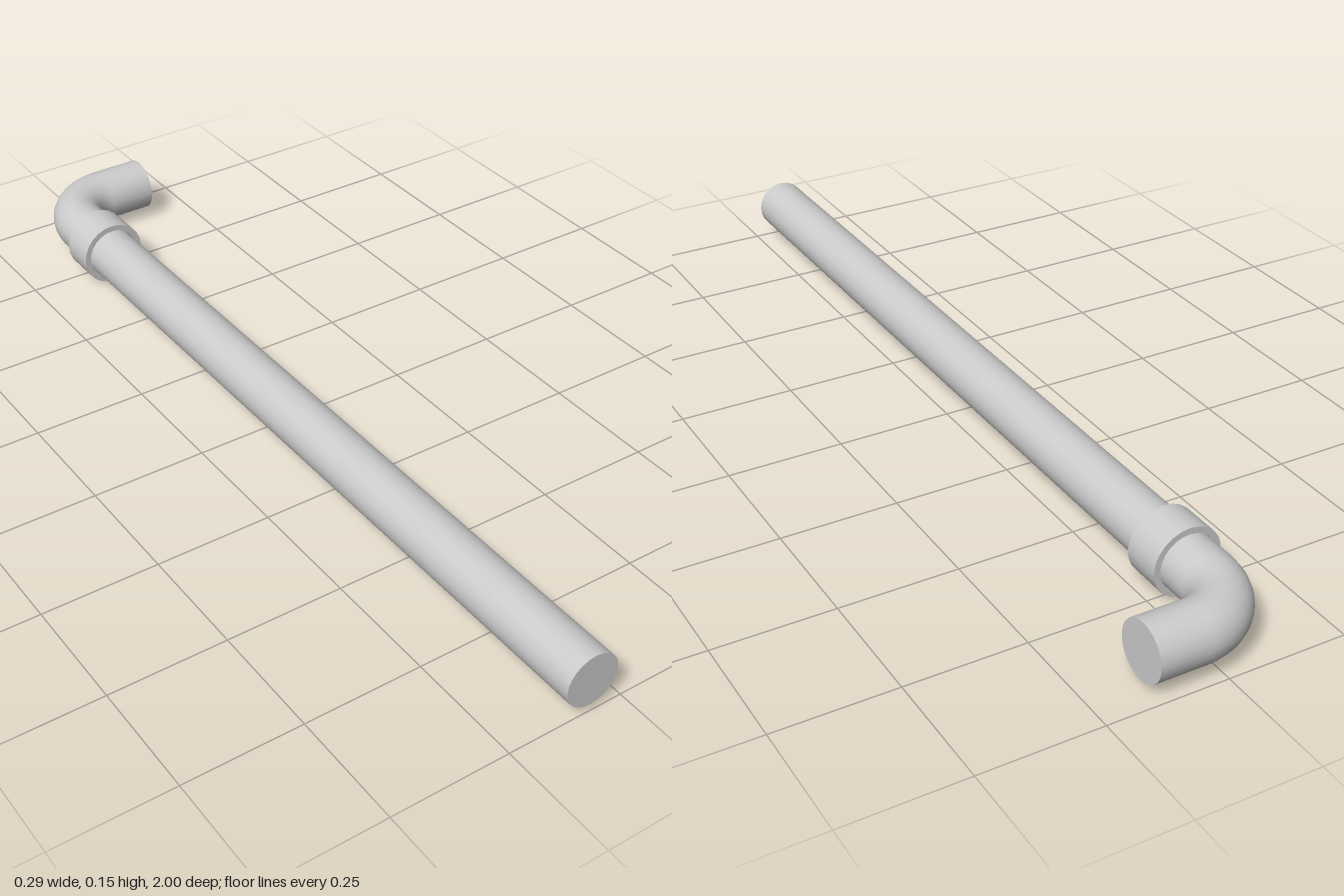
import * as THREE from 'three';

const AXIS_X = -0.072, AXIS_Y = 0.075;
const SIDES = 24;

export function createModel() {
  const group = new THREE.Group();
  const material = new THREE.MeshStandardMaterial({ color: 0xcccccc });

  function add(name, geometry, parent = group) {
    const mesh = new THREE.Mesh(geometry, material);
    mesh.name = name;
    parent.add(mesh);
    return mesh;
  }

  // Long straight pipe, lying along z
  const pipeBack = -0.725, pipeFront = 1;
  const pipe = new THREE.CylinderGeometry(0.0575, 0.0575, pipeFront - pipeBack, SIDES);
  pipe.rotateX(Math.PI / 2);
  add('straightPipe', pipe).position.set(AXIS_X, AXIS_Y, (pipeFront + pipeBack) / 2);

  // Coupling collar: a hollow ring; repeated profile points keep its rims sharp
  const inner = 0.06, outer = 0.0735, half = 0.0415;
  const corners = [[inner, -half], [outer, -half], [outer, half], [inner, half], [inner, -half]];
  const profile = [];
  corners.slice(0, -1).forEach(([r, y], i) => {
    const [r2, y2] = corners[i + 1];
    const a = new THREE.Vector2(r, y), b = new THREE.Vector2(r2, y2);
    profile.push(a, a.clone().lerp(b, 0.001), a.clone().lerp(b, 0.999));
  });
  profile.push(new THREE.Vector2(inner, -half));
  const collar = new THREE.LatheGeometry(profile, SIDES);
  collar.rotateX(Math.PI / 2);
  add('couplingCollar', collar).position.set(AXIS_X, AXIS_Y, -0.7265);

  // Elbow: short straight, quarter bend towards +x, short straight
  const elbow = new THREE.Group();
  elbow.name = 'elbow';
  group.add(elbow);
  const radius = 0.0595, bend = 0.11, k = bend * 0.4477;
  const endX = 0.145, endZ = -0.9405, startZ = -0.727;
  const at = (x, z) => new THREE.Vector3(x, AXIS_Y, z);
  const start = at(AXIS_X, startZ), end = at(endX, endZ);
  const bendStart = at(AXIS_X, endZ + bend), bendEnd = at(AXIS_X + bend, endZ);
  const path = new THREE.CurvePath();
  path.add(new THREE.LineCurve3(start, bendStart));
  path.add(new THREE.CubicBezierCurve3(bendStart, at(AXIS_X, endZ + k), at(AXIS_X + k, endZ), bendEnd));
  path.add(new THREE.LineCurve3(bendEnd, end));
  add('elbowTube', new THREE.TubeGeometry(path, 40, radius, SIDES), elbow);

  // Flat caps closing both elbow ends
  const startCap = add('elbowInnerCap', new THREE.CircleGeometry(radius, SIDES), elbow);
  startCap.position.copy(start);
  const endCap = add('elbowOuterCap', new THREE.CircleGeometry(radius, SIDES), elbow);
  endCap.position.copy(end);
  endCap.rotation.y = Math.PI / 2;

  return group;
}
